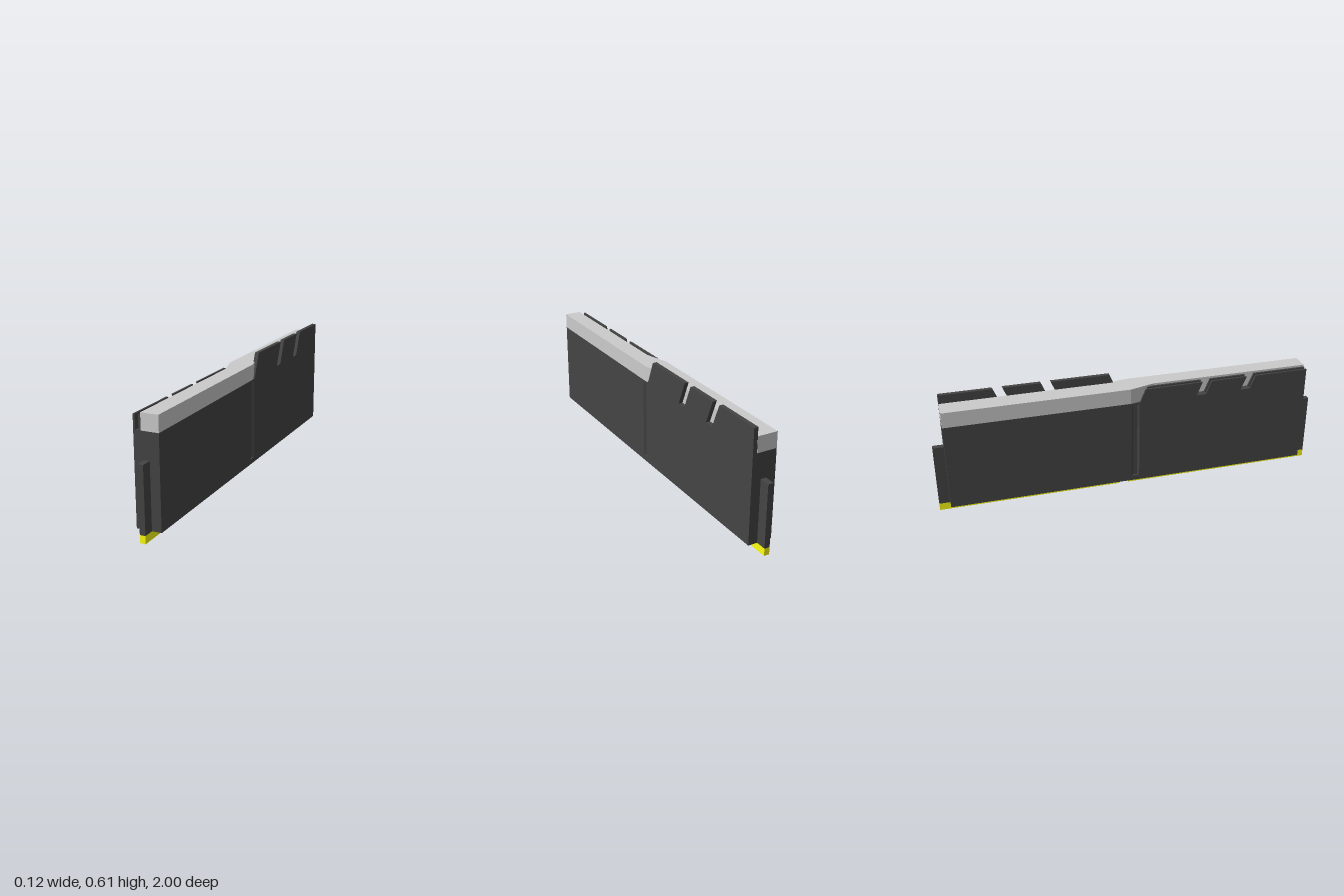
import * as THREE from 'three';

const dark = new THREE.MeshStandardMaterial({ color: 0x444444 });
const grey = new THREE.MeshStandardMaterial({ color: 0xcccccc });
const yellow = new THREE.MeshStandardMaterial({ color: 0xffff10 });

const toShape = (pts) => new THREE.Shape(pts.map(([a, b]) => new THREE.Vector2(a, b)));

// Plan outline given as [x, z], raised from y0 to y1
function planGeometry(pts, y0, y1) {
  const shape = toShape(pts.map(([x, z]) => [x, -z]));
  return new THREE.ExtrudeGeometry(shape, { depth: y1 - y0, bevelEnabled: false })
    .rotateX(-Math.PI / 2).translate(0, y0, 0);
}

// Side outline given as [-z, y], spanning x0 to x1
function sideGeometry(pts, x0, x1) {
  return new THREE.ExtrudeGeometry(toShape(pts), { depth: x1 - x0, bevelEnabled: false })
    .rotateY(Math.PI / 2).translate(x0, 0, 0);
}

export function createModel() {
  const group = new THREE.Group();
  const add = (name, geometry, material, parent = group) => {
    const mesh = new THREE.Mesh(geometry, material);
    mesh.name = name;
    parent.add(mesh);
    return mesh;
  };

  const W = 0.062, L = 0.945, deck = 0.49;

  // Heat spreader: plain top and bottom layers, grooved middle
  const plain = [[-W, -L], [W, -L], [W, L], [-W, L]];
  const half = [[W, -L], [W, -0.036], [W - 0.01, -0.027], [W - 0.01, -0.004], [W, 0.005], [W, L]];
  const grooved = [...half, ...half.map(([x, z]) => [-x, -z])];
  const spreader = new THREE.Group();
  spreader.name = 'heatSpreader';
  group.add(spreader);
  add('spreaderBase', planGeometry(plain, 0.038, 0.065), dark, spreader);
  add('spreaderWalls', planGeometry(grooved, 0.065, 0.48), dark, spreader);
  add('spreaderTop', planGeometry(plain, 0.48, deck), dark, spreader);

  // Light bar that steps sideways at the middle
  add('lightBar', planGeometry([
    [-W, -L], [0.04, -L], [0.04, -0.1], [W, -0.02],
    [W, L], [-0.025, L], [-0.025, 0.12], [-W, -0.01],
  ], deck, 0.57), grey);

  // Fins: three slanted plates separated by slots, mirrored about the middle
  const segments = [[0.04, 0.34], [0.39, 0.58], [0.63, L]];
  function addFins(name, x0, x1, top, sign) {
    const fins = new THREE.Group();
    fins.name = name;
    group.add(fins);
    const lean = (top - deck) * 0.42;
    segments.forEach(([a, b], i) => {
      const endTop = i === 2 ? b : b + lean;
      const pts = [[a, deck], [b, deck], [endTop, top], [a + lean, top]];
      add('finPlate', sideGeometry(pts.map(([u, y]) => [u * sign, y]), x0, x1), dark, fins);
    });
  }
  addFins('tallFins', 0.041, W, 0.614, 1);
  addFins('shortOuterFins', -W, -0.052, 0.56, -1);
  addFins('shortInnerFins', -0.036, -0.0255, 0.56, -1);

  // Circuit board, showing at both ends
  add('circuitBoard', new THREE.BoxGeometry(0.028, 0.322, 2).translate(0, 0.199, 0), dark);

  // Contact edge with keying notch
  add('contactEdge', sideGeometry([
    [-1, 0], [0.012, 0], [0.033, 0.036], [0.04, 0.036], [0.061, 0], [1, 0], [1, 0.038], [-1, 0.038],
  ], -0.014, 0.014), yellow);

  return group;
}
